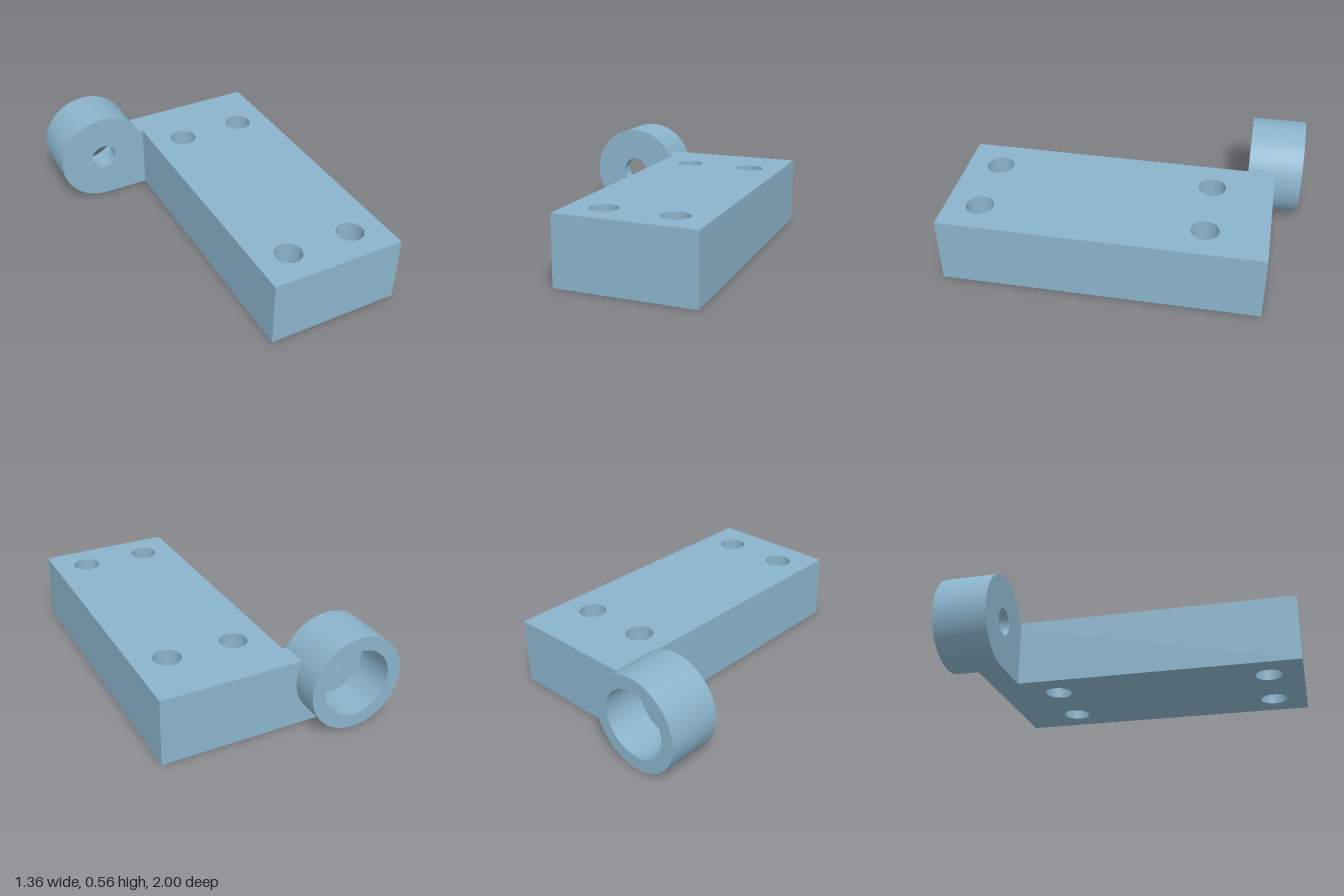
import * as THREE from 'three';
import { toCreasedNormals } from 'three/addons/utils/BufferGeometryUtils.js';

const steel = new THREE.MeshStandardMaterial({ color: 0x8ab3cb });
steel.name = 'blue steel';

function part(name, geometry) {
  const mesh = new THREE.Mesh(toCreasedNormals(geometry, 0.5), steel);
  mesh.name = name;
  return mesh;
}

function extrude(shape, depth) {
  return new THREE.ExtrudeGeometry(shape, { depth, bevelEnabled: false, curveSegments: 48 });
}

export function createModel() {
  const group = new THREE.Group();
  group.name = 'mountingBracket';
  const left = -0.12, right = 0.68, back = -0.84, front = 1, height = 0.4;

  // Block with four vertical through holes, drawn in plan (shape y = -z)
  const plan = new THREE.Shape([
    new THREE.Vector2(left, -front),
    new THREE.Vector2(right, -front),
    new THREE.Vector2(right, -back),
    new THREE.Vector2(left, -back),
  ]);
  for (const x of [0.08, 0.48]) {
    for (const z of [-0.485, 0.8]) {
      plan.holes.push(new THREE.Path().absarc(x, -z, 0.08, 0, Math.PI * 2, true));
    }
  }
  group.add(part('block', extrude(plan, height).rotateX(-Math.PI / 2)));

  // Round eye: small hole at the front, wide counterbore from the back
  const cx = -0.4, cy = 0.28, radius = 0.28;
  const profile = [
    [0.2, 0], [radius, 0], [radius, 0.32], [0.08, 0.32], [0.08, 0.24], [0.2, 0.24], [0.2, 0],
  ].map(([r, y]) => new THREE.Vector2(r, y));
  const eye = part('eye', new THREE.LatheGeometry(profile, 96).rotateX(Math.PI / 2));
  eye.position.set(cx, cy, -1);
  group.add(eye);

  // Web filling the space between the eye and the block
  const web = new THREE.Shape();
  web.moveTo(cx, 0);
  web.lineTo(left, 0);
  web.lineTo(left, height);
  web.lineTo(cx + Math.sqrt(radius ** 2 - (height - cy) ** 2), height);
  web.absarc(cx, cy, radius, Math.asin((height - cy) / radius), -Math.PI / 2, true);
  group.add(part('web', extrude(web, 0.16).translate(0, 0, back)));

  return group;
}
